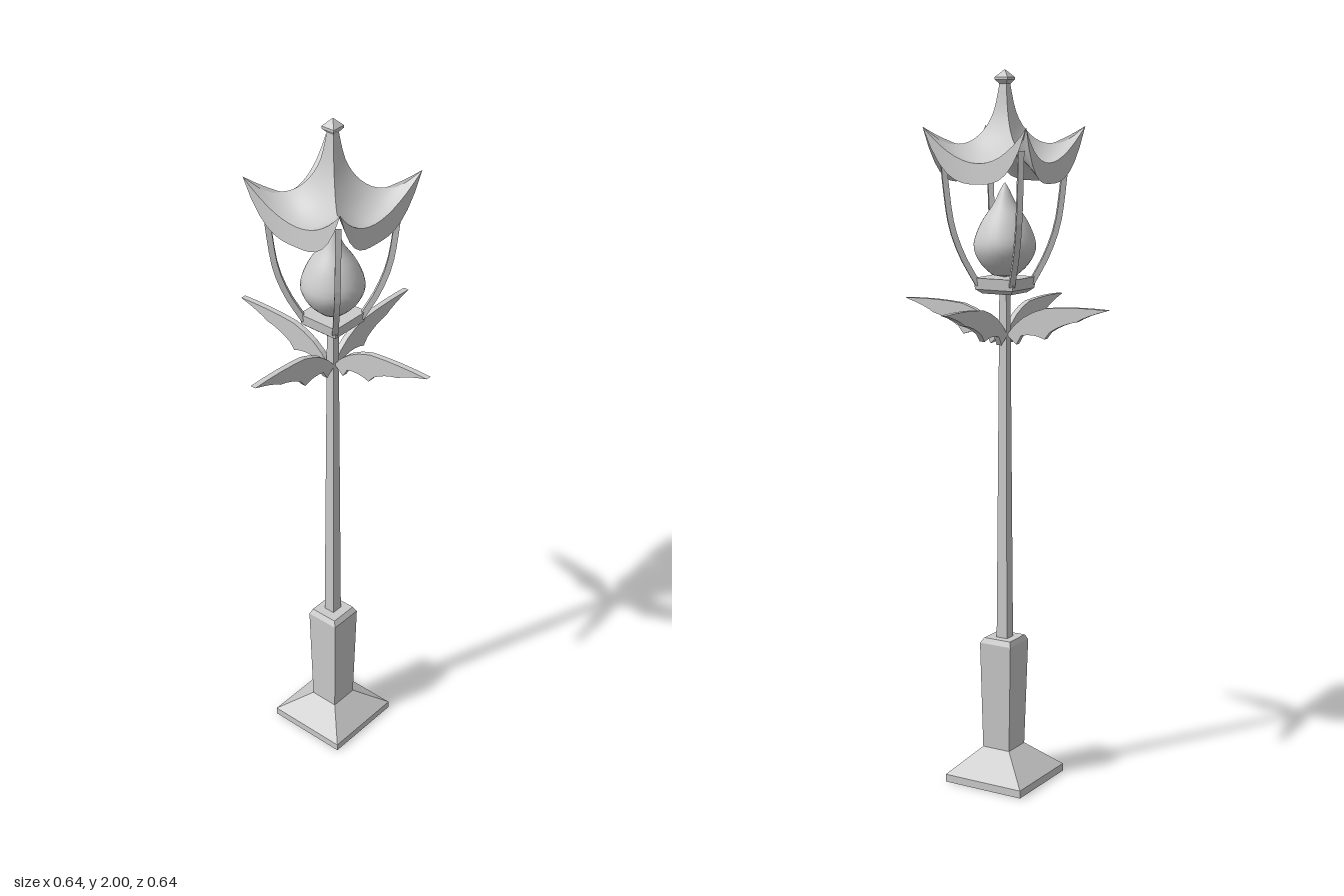
import * as THREE from 'three';
import { ParametricGeometry } from 'three/addons/geometries/ParametricGeometry.js';

const flat = new THREE.MeshStandardMaterial({ color: 0xcccccc, flatShading: true });
const smooth = new THREE.MeshStandardMaterial({ color: 0xcccccc, side: THREE.DoubleSide });

function add(parent, name, geometry, material) {
  const mesh = new THREE.Mesh(geometry, material);
  mesh.name = name;
  parent.add(mesh);
  return mesh;
}

// Square loft through rings of [y, half width, centre x, centre z], capped at both ends
function squareLoft(rings) {
  const corners = [[1, 1], [1, -1], [-1, -1], [-1, 1]];
  const pos = [];
  const index = [];
  for (const [y, h, cx = 0, cz = 0] of rings) {
    for (const [sx, sz] of corners) pos.push(cx + sx * h, y, cz + sz * h);
  }
  for (let r = 0; r < rings.length - 1; r++) {
    for (let i = 0; i < 4; i++) {
      const a = r * 4 + i, b = r * 4 + (i + 1) % 4;
      index.push(a, b, b + 4, a, b + 4, a + 4);
    }
  }
  const t = (rings.length - 1) * 4;
  index.push(0, 2, 1, 0, 3, 2, t, t + 1, t + 2, t, t + 2, t + 3);
  const indexed = new THREE.BufferGeometry();
  indexed.setAttribute('position', new THREE.Float32BufferAttribute(pos, 3));
  indexed.setIndex(index);
  const g = indexed.toNonIndexed();
  g.computeVertexNormals();
  return g;
}

// One side of the roof, facing +z: concave top, crescent edge and vaulted underside
const R = 0.16, TIP = 1.85;
const hip = new THREE.SplineCurve([
  [R, TIP], [0.13, 1.82], [0.10, 1.805], [0.07, 1.81], [0.042, 1.84], [0.022, 1.89], [0.011, 1.96],
].map(([r, y]) => new THREE.Vector2(r, y)));

function roofTop(u, v, out) {
  const t = u * 2 - 1, b = 1 - t * t, p = hip.getPoint(v);
  const k = (p.x / R) ** 2;
  out.set(t * p.x, p.y - 0.095 * k * b, p.x * (1 - 0.125 * k * b));
}
function lowerEdge(u, out) {
  const t = u * 2 - 1, c = 1 - Math.abs(t) ** 3;
  out.set(t * R, TIP - 0.15 * c, R * (1 - 0.1 * (1 - t * t)));
}
function roofEdge(u, v, out) {
  const top = new THREE.Vector3();
  roofTop(u, 0, top);
  lowerEdge(u, out);
  out.lerp(top, v);
}
function roofUnder(u, v, out) {
  lowerEdge(u, out);
  const s = 0.03 + 0.97 * v;
  out.set(out.x * s, 1.78 + (out.y - 1.78) * s * s, out.z * s);
}

function leafGeometry() {
  const s = new THREE.Shape();
  s.moveTo(0.008, 1.285);
  s.quadraticCurveTo(0.05, 1.345, 0.13, 1.365);
  s.quadraticCurveTo(0.22, 1.375, 0.32, 1.37);
  s.quadraticCurveTo(0.25, 1.35, 0.225, 1.333);
  s.quadraticCurveTo(0.18, 1.325, 0.143, 1.3);
  s.lineTo(0.127, 1.28);
  s.quadraticCurveTo(0.09, 1.295, 0.053, 1.285);
  s.lineTo(0.038, 1.26);
  s.closePath();
  const g = new THREE.ExtrudeGeometry(s, { depth: 0.016, bevelEnabled: false, curveSegments: 4 });
  g.translate(0, 0, -0.013);
  return g;
}

export function createModel() {
  const model = new THREE.Group();
  model.name = 'streetLamp';

  // Foot, pedestal and pole
  add(model, 'foot', squareLoft([
    [0, 0.123], [0.022, 0.123], [0.092, 0.043, -0.009, 0.009],
  ]), flat);
  add(model, 'pedestal', squareLoft([
    [0.09, 0.043, -0.009, 0.009], [0.405, 0.05, -0.003, 0.004], [0.42, 0.042, -0.002, 0.002],
  ]), flat);
  add(model, 'pole', squareLoft([[0.41, 0.017], [1.41, 0.011]]), flat);

  // Lantern seat and teardrop bulb
  add(model, 'lanternSeat', squareLoft([[1.4, 0.045], [1.412, 0.059], [1.443, 0.063]]), flat);
  const drop = new THREE.SplineCurve([
    [0.035, 1.45], [0.068, 1.483], [0.086, 1.53], [0.066, 1.59], [0.033, 1.64], [0.013, 1.68], [0.001, 1.7],
  ].map(([r, y]) => new THREE.Vector2(r, y)));
  add(model, 'bulb', new THREE.LatheGeometry([new THREE.Vector2(0, 1.443), ...drop.getPoints(20)], 28), smooth);

  // Finial on the roof
  add(model, 'finial', squareLoft([
    [1.945, 0.011], [1.963, 0.011], [1.974, 0.02], [1.98, 0.02], [2.0, 0.001],
  ]), flat);

  // Leaves, roof sides and corner arms repeat four times round the pole
  const leaf = leafGeometry();
  const armPath = new THREE.CatmullRomCurve3([
    [0.053, 1.425], [0.083, 1.5], [0.104, 1.58], [0.115, 1.68], [0.122, 1.79],
  ].map(([d, y]) => new THREE.Vector3(d, y, d)));
  const arm = new THREE.TubeGeometry(armPath, 10, 0.011, 4);
  const roofParts = [
    ['roofTop', new ParametricGeometry(roofTop, 14, 18)],
    ['roofEdge', new ParametricGeometry(roofEdge, 14, 1)],
    ['roofUnderside', new ParametricGeometry(roofUnder, 14, 8)],
  ];
  for (const [, g] of roofParts) g.computeVertexNormals();

  for (let i = 0; i < 4; i++) {
    const quarter = new THREE.Group();
    quarter.name = 'quarter' + (i + 1);
    quarter.rotation.y = i * Math.PI / 2;
    add(quarter, 'leaf', leaf, flat);
    add(quarter, 'lanternArm', arm, flat);
    for (const [name, g] of roofParts) add(quarter, name, g, smooth);
    model.add(quarter);
  }
  return model;
}
